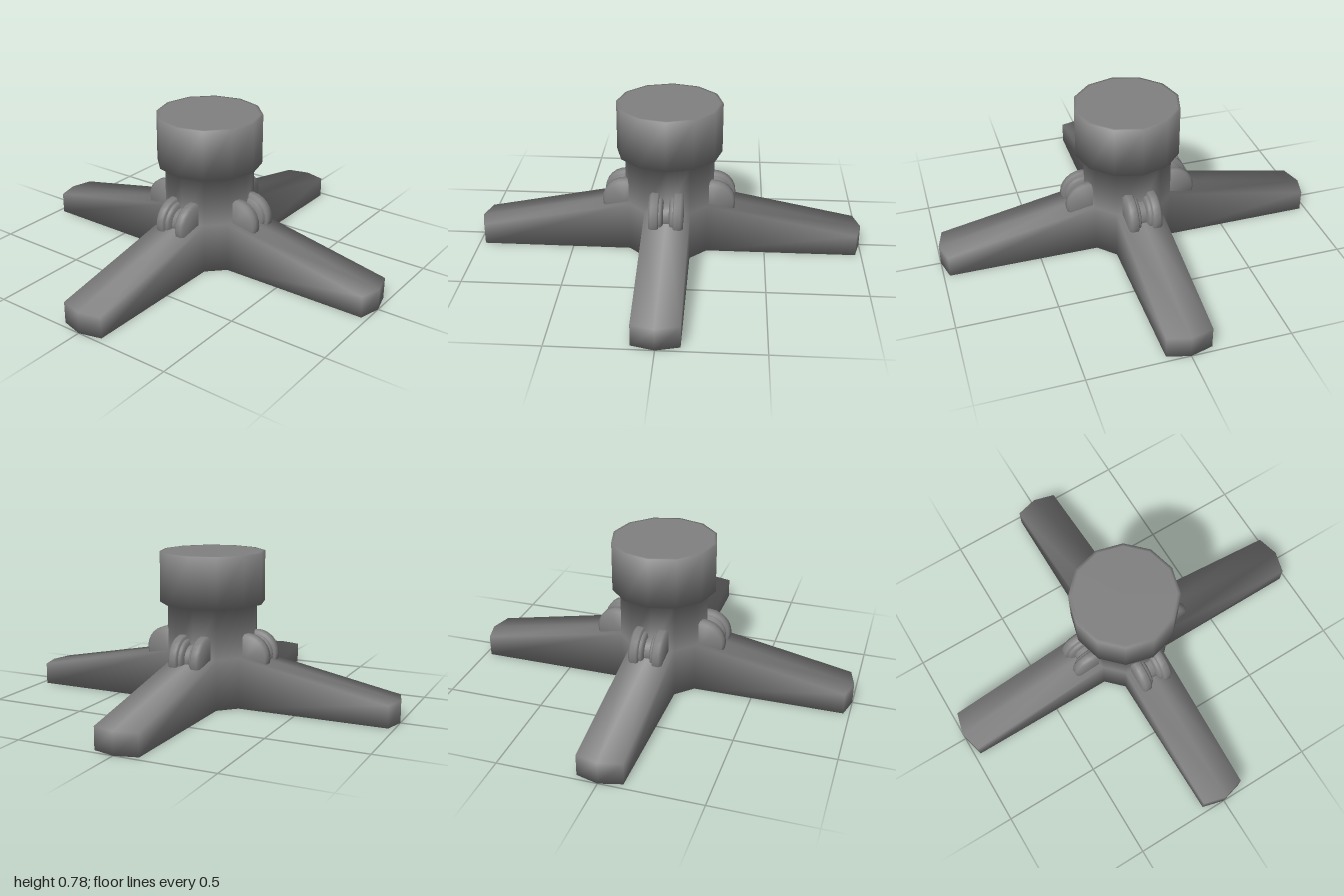
import * as THREE from 'three';
import { mergeVertices, toCreasedNormals } from 'three/addons/utils/BufferGeometryUtils.js';

const grey = new THREE.MeshStandardMaterial({ color: 0x808080 });

function add(parent, name, geometry) {
  const mesh = new THREE.Mesh(geometry, grey);
  mesh.name = name;
  parent.add(mesh);
  return mesh;
}

// Smooth normals weighted by corner angle, so long faces do not dominate small ones
function smoothByAngle(geometry) {
  const { position } = geometry.attributes;
  const index = geometry.index.array;
  const normals = Array.from({ length: position.count }, () => new THREE.Vector3());
  const corner = (i) => new THREE.Vector3().fromBufferAttribute(position, index[i]);
  for (let f = 0; f < index.length; f += 3) {
    const p = [corner(f), corner(f + 1), corner(f + 2)];
    const normal = new THREE.Triangle(...p).getNormal(new THREE.Vector3());
    for (let i = 0; i < 3; i++) {
      const u = p[(i + 1) % 3].clone().sub(p[i]);
      const v = p[(i + 2) % 3].clone().sub(p[i]);
      normals[index[f + i]].addScaledVector(normal, u.angleTo(v));
    }
  }
  const flat = normals.flatMap((n) => n.normalize().toArray());
  geometry.setAttribute('normal', new THREE.Float32BufferAttribute(flat, 3));
  return geometry;
}

// One smooth skin: a twelve-sided column with a wide collar and four tapering legs
function bodyGeometry() {
  const pos = [];
  const tri = (...pts) => pts.forEach((p) => pos.push(...p));
  const quad = (a, b, c, d) => { tri(a, b, c); tri(a, c, d); };
  // plan point: position plus the height of its upper edge
  const polar = (r, angle, top) => ({ x: r * Math.cos(angle), z: -r * Math.sin(angle), top });
  const ring = (k, r = 0.23, top = 0.26) => polar(r, (k * Math.PI) / 6, top);
  const low = (p) => [p.x, 0, p.z];
  const high = (p) => [p.x, p.top, p.z];

  for (let leg = 0; leg < 4; leg++) {
    const k = leg * 3;
    const turn = (leg * Math.PI) / 2;
    const inner = [ring(k - 1), ring(k), ring(k + 1)];
    const tip = [-1, 0, 1].map((s) => {
      const x = s ? 0.97 : 1, w = 0.113 * s;
      return polar(Math.hypot(x, w), turn + Math.atan2(w, x), 0.11);
    });
    // leg sides, pointed tip and the short wall between two legs
    const outline = [inner[0], ...tip, inner[2], ring(k + 2)];
    for (let i = 0; i < 5; i++) {
      const a = outline[i], b = outline[i + 1];
      quad(low(a), low(b), high(b), high(a));
    }
    // leg top and underside
    for (let i = 0; i < 2; i++) {
      quad(high(inner[i]), high(tip[i]), high(tip[i + 1]), high(inner[i + 1]));
      quad(low(inner[i + 1]), low(tip[i + 1]), low(tip[i]), low(inner[i]));
    }
  }
  // column, collar ledge, collar side and rim as rings of [radius, height]
  const rings = [[0.23, 0.26], [0.23, 0.52], [0.27, 0.52], [0.27, 0.78], [0.255, 0.78]];
  for (let k = 0; k < 12; k++) {
    for (let i = 0; i < rings.length - 1; i++) {
      const [lower, upper] = [rings[i], rings[i + 1]];
      quad(high(ring(k, ...lower)), high(ring(k + 1, ...lower)),
        high(ring(k + 1, ...upper)), high(ring(k, ...upper)));
    }
    // flat top and the middle of the underside
    const rim = rings[rings.length - 1];
    tri([0, 0.78, 0], high(ring(k, ...rim)), high(ring(k + 1, ...rim)));
    tri([0, 0, 0], low(ring(k + 1)), low(ring(k)));
  }
  const geometry = new THREE.BufferGeometry();
  geometry.setAttribute('position', new THREE.Float32BufferAttribute(pos, 3));
  return smoothByAngle(mergeVertices(geometry, 1e-4));
}

// Softly shaded solid of revolution lying along x
function turned(profile) {
  const points = profile.map(([r, y]) => new THREE.Vector2(r, y));
  return toCreasedNormals(new THREE.LatheGeometry(points, 24).rotateZ(-Math.PI / 2), 1.2);
}

export function createModel() {
  const model = new THREE.Group();
  model.name = 'pedestalBase';

  add(model, 'columnCollarAndLegs', bodyGeometry());

  // Rounded cheeks with a grooved roller between them, above each leg
  const cheek = turned([[0, -0.025], [0.108, -0.025], [0.115, -0.018], [0.115, 0.012], [0.103, 0.025], [0, 0.025]]);
  const roller = turned([
    [0, -0.04], [0.095, -0.04], [0.095, -0.025], [0.085, -0.018], [0.068, -0.014],
    [0.068, 0.014], [0.085, 0.018], [0.095, 0.025], [0.095, 0.04], [0, 0.04],
  ]);
  for (let i = 0; i < 4; i++) {
    const pivot = new THREE.Group();
    pivot.name = 'rollerBracket';
    pivot.rotation.y = (i * Math.PI) / 2;
    for (const side of [-1, 1]) {
      const mesh = add(pivot, 'cheek', cheek);
      mesh.position.set(side * 0.061, 0.265, 0.227);
      mesh.rotation.y = side < 0 ? Math.PI : 0;
    }
    add(pivot, 'roller', roller).position.set(0, 0.265, 0.227);
    model.add(pivot);
  }
  return model;
}
